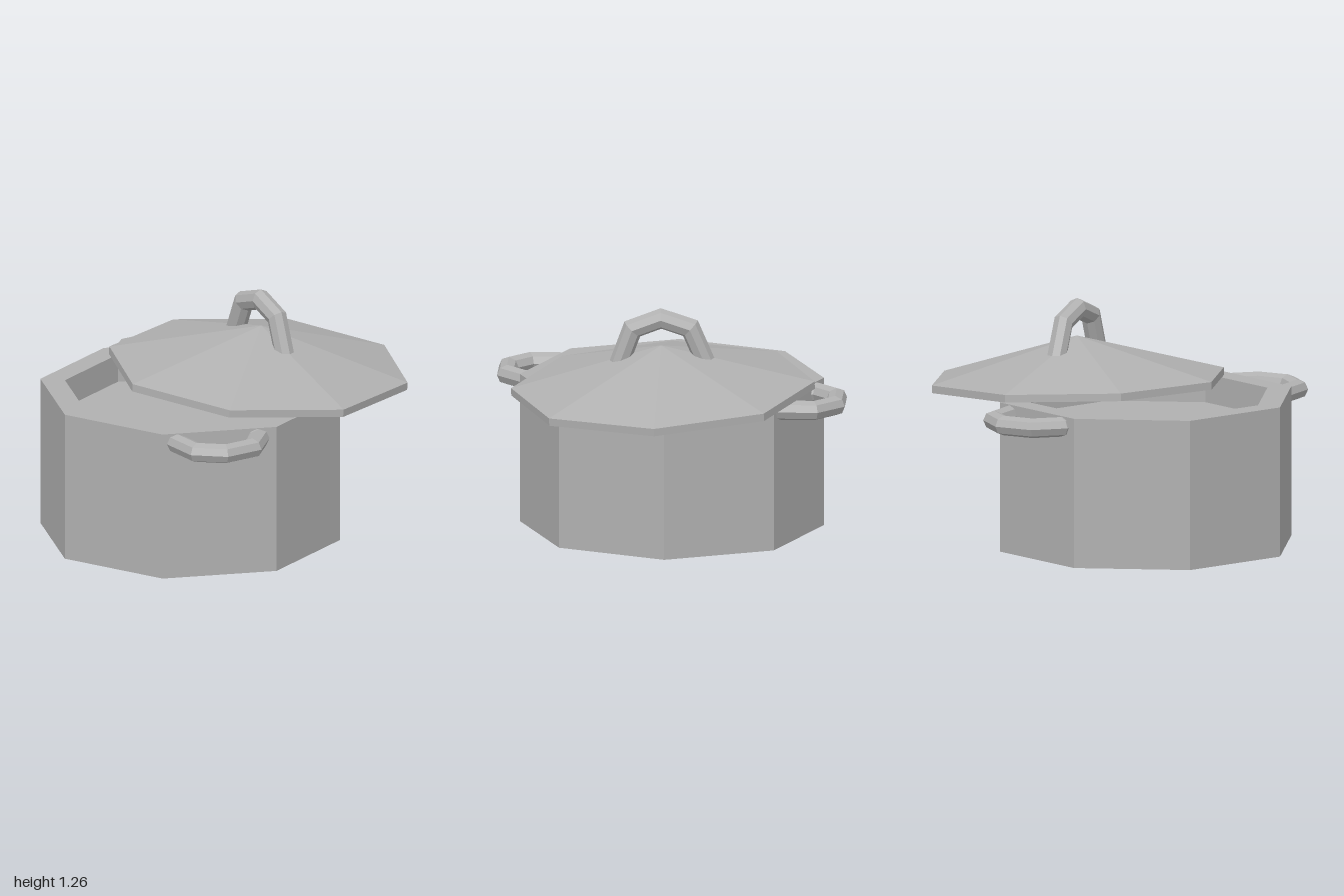
import * as THREE from 'three';

const SIDES = 8;

// Mitred octagonal rod following a flat path in the local XY plane
function rod(path, radius) {
  const pts = path.map(([x, y]) => new THREE.Vector2(x, y));
  const pos = [], idx = [];
  pts.forEach((p, i) => {
    const prev = pts[Math.max(i - 1, 0)], next = pts[Math.min(i + 1, pts.length - 1)];
    const tIn = (i ? p.clone().sub(prev) : next.clone().sub(p)).normalize();
    const tOut = (i < pts.length - 1 ? next.clone().sub(p) : tIn.clone()).normalize();
    const t = tIn.clone().add(tOut).normalize();
    const stretch = radius / t.dot(tIn);
    for (let j = 0; j < SIDES; j++) {
      const a = (j / SIDES) * Math.PI * 2;
      const n = Math.cos(a) * stretch;
      pos.push(p.x - t.y * n, p.y + t.x * n, Math.sin(a) * radius);
      if (i < pts.length - 1) {
        const k = (j + 1) % SIDES, r = i * SIDES, s = r + SIDES;
        idx.push(r + j, r + k, s + j, r + k, s + k, s + j);
      }
    }
  });
  // end caps
  const last = (pts.length - 1) * SIDES;
  for (let j = 1; j < SIDES - 1; j++) {
    idx.push(0, j + 1, j, last, last + j, last + j + 1);
  }
  const g = new THREE.BufferGeometry();
  g.setAttribute('position', new THREE.Float32BufferAttribute(pos, 3));
  g.setIndex(idx);
  g.computeVertexNormals();
  return g;
}

function lathe(profile) {
  return new THREE.LatheGeometry(profile.map(([x, y]) => new THREE.Vector2(x, y)), SIDES);
}

export function createModel() {
  const model = new THREE.Group();
  model.name = 'cookingPot';
  const metal = new THREE.MeshStandardMaterial({ color: 0xb0b0b0 });
  metal.name = 'grey metal';
  metal.flatShading = true;

  const add = (name, geometry, parent = model) => {
    const mesh = new THREE.Mesh(geometry, metal);
    mesh.name = name;
    parent.add(mesh);
    return mesh;
  };

  // Pot with thick rim and recessed inside
  const pot = new THREE.Group();
  pot.name = 'pot';
  pot.position.x = -0.2075;
  model.add(pot);
  add('potBody', lathe([[0, 0], [0.7925, 0], [0.7925, 0.79], [0.6625, 0.79], [0.6625, 0.64], [0, 0.64]]), pot);

  // Side handles, one the half-turn copy of the other
  const sideHandle = rod([
    [-0.487, 0.56], [-0.487, 0.765], [-0.375, 0.87], [-0.205, 0.87], [-0.093, 0.765], [-0.093, 0.7],
  ], 0.052);
  ['frontHandle', 'backHandle'].forEach((name, i) => {
    const holder = new THREE.Group();
    holder.name = name;
    holder.rotation.y = i * Math.PI;
    holder.position.y = 0.735;
    pot.add(holder);
    add(name + 'Bar', sideHandle, holder).rotation.x = Math.PI / 2;
  });

  // Lid, slid aside and slightly tipped
  const lid = add('lid', lathe([[0, 0], [0.7925, 0], [0.7925, 0.04], [0, 0.255]]));
  lid.position.set(0.205, 0.805, 0.025);
  lid.rotation.set(0.038, -0.01, -0.05);

  // Lid handle arching front to back
  const lidHandle = add('lidHandle', rod([
    [0.26, 0.94], [0.185, 1.145], [0.035, 1.203], [-0.118, 1.153], [-0.21, 0.94],
  ], 0.052));
  lidHandle.position.x = 0.215;
  lidHandle.rotation.y = -Math.PI / 2;

  return model;
}
